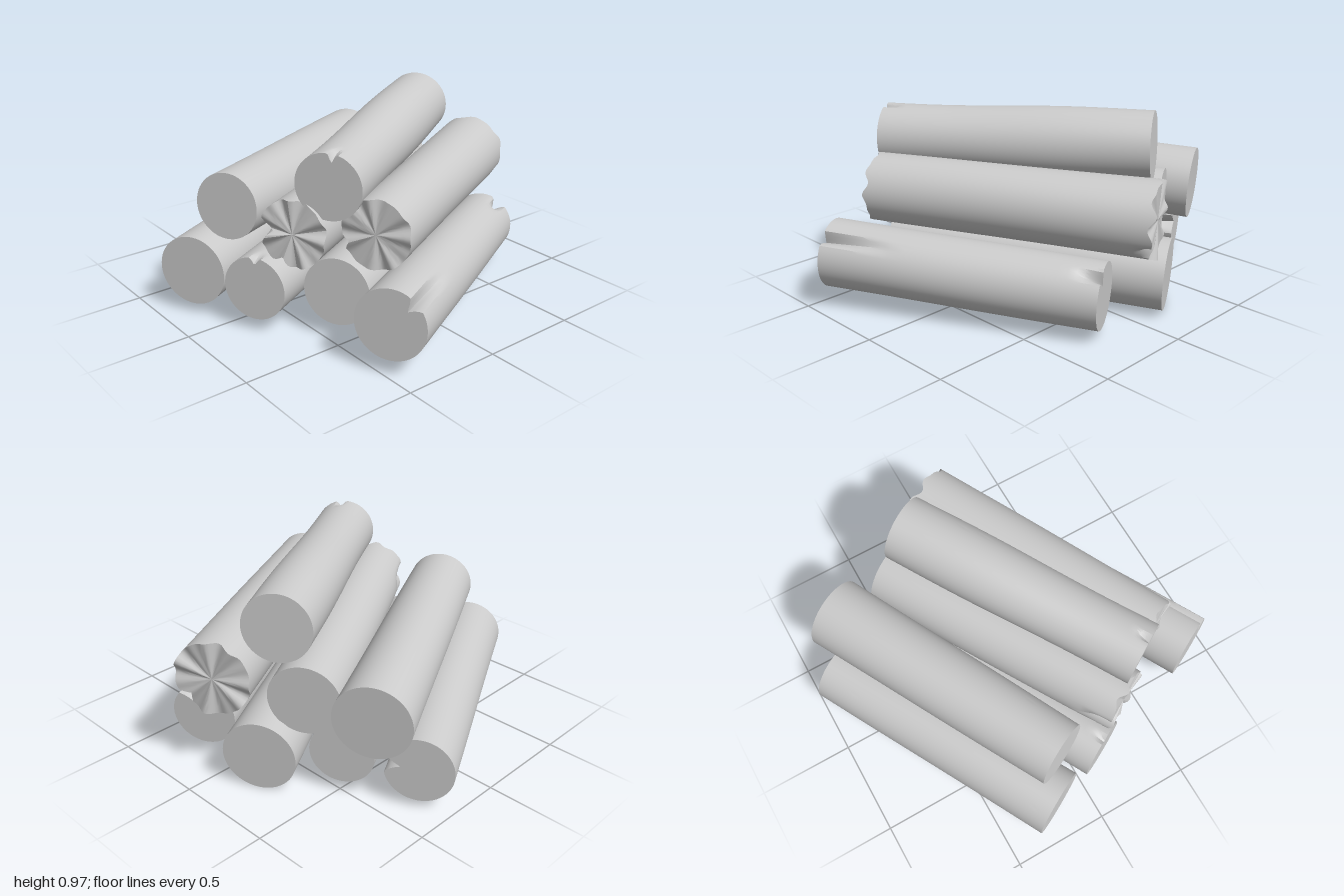
import * as THREE from 'three';
import { toCreasedNormals } from 'three/addons/utils/BufferGeometryUtils.js';

const SEG = 80, CAP = 5, WALL = 32;

// Stations from the centre of the first cut, along the bark, to the centre of the second cut
const stations = [];
for (let i = 0; i < CAP; i++) stations.push({ t: 0, rho: i / CAP });
for (let i = 0; i <= WALL; i++) stations.push({ t: (1 - Math.cos(Math.PI * i / WALL)) / 2, rho: 1 });
for (let i = CAP - 1; i >= 0; i--) stations.push({ t: 1, rho: i / CAP });

// One log from a to b. Angles in degrees: 0 = front side, 90 = top.
// notches: [end (0 or 1), angle, half width, depth share, length share]
// rough: [start, end] height of the splintered ridges on the cuts
function makeLog({ name, a, b, r, notches = [], rough = [0, 0], swell = 0, phase = 0 }, material) {
  const A = new THREE.Vector3(...a), B = new THREE.Vector3(...b);
  const d = B.clone().sub(A).normalize();
  const s = new THREE.Vector3().crossVectors(d, new THREE.Vector3(0, 1, 0)).normalize();
  const u = new THREE.Vector3().crossVectors(s, d);
  const pos = [], idx = [], p = new THREE.Vector3();

  for (const { t, rho } of stations) {
    for (let j = 0; j < SEG; j++) {
      const th = j / SEG * Math.PI * 2;
      let rad = THREE.MathUtils.lerp(r[0], r[1], t);
      rad *= 1 + 0.012 * Math.sin(2 * th + phase + 3 * t) * Math.sin(Math.PI * t);
      rad *= 1 - swell * Math.sin(Math.PI * t) * Math.cos(Math.PI * t * 1.2);
      // Wedge-shaped cracks fading away from the cut
      for (const [end, ang, width, depth, len] of notches) {
        let da = Math.abs(th - THREE.MathUtils.degToRad((ang + 360) % 360));
        da = Math.min(da, Math.PI * 2 - da);
        const across = Math.max(0, 1 - da / THREE.MathUtils.degToRad(width));
        const along = Math.max(0, 1 - Math.abs(t - end) / len);
        rad *= 1 - depth * across * along;
      }
      p.lerpVectors(A, B, t);
      p.addScaledVector(s, Math.cos(th) * rad * rho).addScaledVector(u, Math.sin(th) * rad * rho);
      // Radial splinter ridges on a rough cut
      const ridge = Math.sin(7 * th + phase) * 0.6 + Math.sin(11 * th + 2 * phase) * 0.4;
      const amount = rough[0] * Math.max(0, 1 - t / 0.06) + rough[1] * Math.max(0, 1 - (1 - t) / 0.06);
      p.addScaledVector(d, ridge * amount * rho);
      pos.push(p.x, p.y, p.z);
    }
  }
  const last = stations.length - 2;
  for (let i = 0; i <= last; i++) {
    for (let j = 0; j < SEG; j++) {
      const k = (j + 1) % SEG;
      const v0 = i * SEG + j, v1 = v0 + SEG, v2 = i * SEG + k, v3 = v2 + SEG;
      if (i > 0) idx.push(v0, v1, v2);
      if (i < last) idx.push(v1, v3, v2);
      else idx.push();
      // The innermost fans keep a single triangle per segment
      if (i === 0) continue;
    }
  }
  const g = new THREE.BufferGeometry();
  g.setAttribute('position', new THREE.Float32BufferAttribute(pos, 3));
  g.setIndex(idx);
  const mesh = new THREE.Mesh(toCreasedNormals(g, 0.6), material);
  mesh.name = name;
  return mesh;
}

const LOGS = [
  // Bottom layer, front to back
  { name: 'bottomLogFront', a: [-0.48, 0.25, 0.84], b: [0.73, 0.2, 0.21], r: [0.17, 0.162], phase: 1,
    notches: [[0, 46, 13, 0.38, 0.27], [1, 55, 14, 0.5, 0.09]] },
  { name: 'bottomLogMiddleFront', a: [-0.46, 0.24, 0.44], b: [0.76, 0.18, -0.23], r: [0.165, 0.178], phase: 2 },
  { name: 'bottomLogMiddleBack', a: [-0.72, 0.225, 0.15], b: [0.49, 0.195, -0.5], r: [0.157, 0.157], phase: 3,
    notches: [[0, 88, 10, 0.25, 0.05], [1, 122, 12, 0.45, 0.1]] },
  { name: 'bottomLogBack', a: [-0.855, 0.23, -0.19], b: [0.355, 0.205, -0.85], r: [0.175, 0.165], phase: 4,
    notches: [[1, 5, 16, 0.5, 0.14]] },
  // Middle layer
  { name: 'middleLogFront', a: [-0.38, 0.565, 0.62], b: [0.84, 0.54, -0.02], r: [0.167, 0.185], phase: 5,
    rough: [0.015, 0.02], notches: [[1, -40, 14, 0.3, 0.06], [0, 200, 12, 0.25, 0.06]] },
  { name: 'middleLogCentre', a: [-0.61, 0.525, 0.31], b: [0.6, 0.47, -0.37], r: [0.165, 0.175], phase: 6,
    rough: [0.02, 0], notches: [[0, 180, 24, 0.4, 0.12], [0, 250, 14, 0.3, 0.08]] },
  { name: 'middleLogBack', a: [-0.7, 0.555, -0.1], b: [0.535, 0.48, -0.725], r: [0.165, 0.185], phase: 7 },
  // Top
  { name: 'topLog', a: [-0.51, 0.77, 0.45], b: [0.635, 0.8, -0.24], r: [0.16, 0.168], phase: 8,
    swell: 0.05, notches: [[0, 82, 9, 0.3, 0.06]] },
];

export function createModel() {
  const group = new THREE.Group();
  group.name = 'logPile';
  const material = new THREE.MeshStandardMaterial({ color: 0xcccccc });
  for (const log of LOGS) group.add(makeLog(log, material));
  return group;
}
